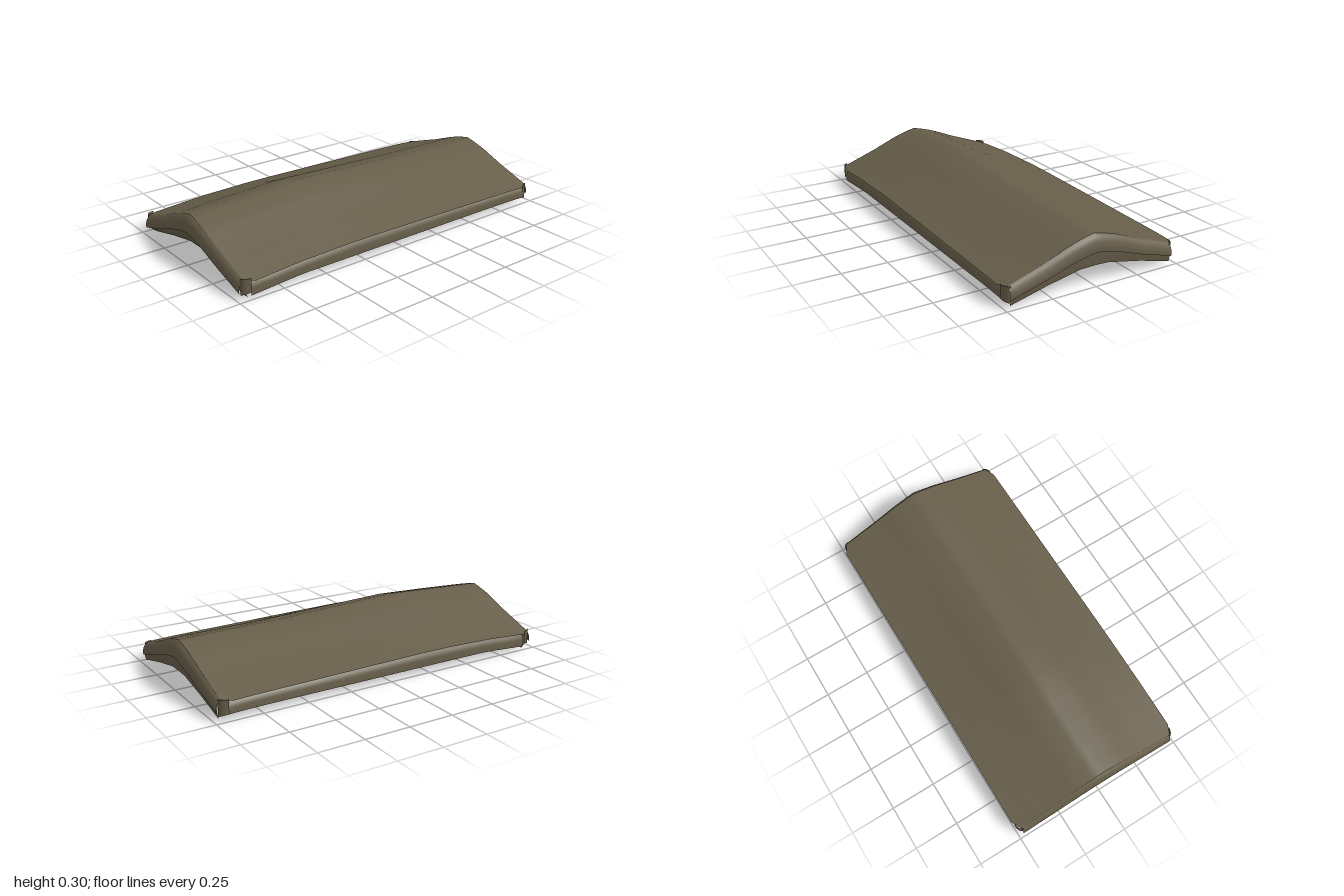
import * as THREE from 'three';

const canvas = new THREE.MeshStandardMaterial({ color: 0x665d49, side: THREE.DoubleSide });
canvas.name = 'olive canvas';

// Piecewise linear lookup in [position, value] pairs sorted by position
function lookup(table, p) {
  if (p <= table[0][0]) return table[0][1];
  for (let i = 1; i < table.length; i++) {
    const [a, va] = table[i - 1], [b, vb] = table[i];
    if (p <= b) return va + (vb - va) * (p - a) / (b - a);
  }
  return table[table.length - 1][1];
}

// Smooth sheet through rows of points; point(u, v) gives [x, y, z]
function sheet(name, us, vs, point) {
  const pos = [], index = [], n = vs.length;
  for (const u of us) for (const v of vs) pos.push(...point(u, v));
  for (let i = 0; i < us.length - 1; i++) {
    for (let j = 0; j < n - 1; j++) {
      const a = i * n + j, b = a + n;
      index.push(a, b, a + 1, b, b + 1, a + 1);
    }
  }
  const g = new THREE.BufferGeometry();
  g.setAttribute('position', new THREE.Float32BufferAttribute(pos, 3));
  g.setIndex(index);
  g.computeVertexNormals();
  const mesh = new THREE.Mesh(g, canvas);
  mesh.name = name;
  return mesh;
}

const range = (a, b, n) => Array.from({ length: n + 1 }, (_, i) => a + (b - a) * i / n);

// Ridge and eave heights along the length, and the slope between them
const ridge = [[-0.97, 0.275], [-0.4, 0.282], [0, 0.297], [0.35, 0.31], [0.65, 0.295], [0.97, 0.278]];
const eave = [[-0.97, 0.11], [-0.8, 0.116], [-0.2, 0.125], [0.3, 0.132], [0.65, 0.122], [0.97, 0.1]];
const slope = [[0, 1], [0.06, 0.965], [0.26, 0.8], [0.56, 0.45], [1, 0]];
function roofY(x, z) {
  const e = lookup(eave, z);
  return e + (lookup(ridge, z) - e) * lookup(slope, Math.abs(x) / 0.5);
}
// Lower hem of the end skirts
const hem = [[0, 0.097], [0.08, 0.095], [0.27, 0.057], [0.47, 0.008]];

export function createModel() {
  const group = new THREE.Group();

  // Pitched roof sheet, slightly narrowed at its corners
  const across = range(-1, 1, 24);
  const width = z => lookup([[0, 0.505], [0.91, 0.505], [0.965, 0.478]], Math.abs(z));
  const along = [-0.965, -0.94, -0.91, -0.8, -0.6, -0.4, -0.2, 0, 0.2, 0.35, 0.5, 0.65, 0.8, 0.91, 0.94, 0.965];
  group.add(sheet('roof', along, across, (z, s) => {
    const x = s * width(z);
    return [x, roofY(x, z), z];
  }));

  for (const end of [1, -1]) {
    const label = end > 0 ? 'front' : 'back';
    const top = x => roofY(x, end * 0.965);

    // Rounded lip folding over the end of the roof: [distance, drop]
    const lip = [[0.965, 0], [0.98, 0.012], [0.99, 0.035], [0.997, 0.065], [0.995, 0.09]];
    group.add(sheet(label + 'Lip', lip, across, ([d, drop], s) => {
      const x = s * 0.475;
      return [x, top(x) - drop * (1 - 0.25 * Math.abs(s)), end * (d - 0.008 * Math.abs(s))];
    }));

    // Skirt hanging from behind the lip
    const reach = end > 0 ? 0.935 : 0.975;
    group.add(sheet(label + 'Skirt', range(0, 1, 4), across, (t, s) => {
      const x = s * 0.47;
      const y0 = top(x) - 0.035, y1 = lookup(hem, Math.abs(x)) + (end > 0 ? 0 : 0.012);
      return [x, y0 + (y1 - y0) * t, end * (0.983 + (reach - 0.983) * t * t)];
    }));

    // Inner flap turned in under the roof
    group.add(sheet(label + 'InnerFlap', range(0, 1, 4), across, (t, s) => {
      const x = s * 0.45;
      const y0 = roofY(x, end * 0.84) - 0.012;
      const y1 = lookup(hem, Math.abs(x)) + 0.03;
      return [x, y0 + (y1 - y0) * t * t, end * (0.84 + 0.085 * t)];
    }));
  }

  for (const side of [1, -1]) {
    const label = side > 0 ? 'left' : 'right';

    // Side valance curling out from under the roof: [x, drop from eave]
    const curl = [[0.37, -0.034], [0.42, -0.016], [0.46, 0.002], [0.48, 0.02], [0.488, 0.045], [0.49, 0.08]];
    const bottom = [[-0.95, 0.04], [-0.8, 0.045], [0.65, 0.044], [0.93, 0.024]];
    group.add(sheet(label + 'Valance', range(-0.95, 0.93, 18), curl, (z, [x, drop]) => {
      const e = lookup(eave, z);
      const y = drop > 0.01 ? e - (e - lookup(bottom, z)) * drop / 0.08 : e - drop;
      return [side * x, y, z];
    }));

    // Short tabs closing the corners
    for (const end of [1, -1]) {
      group.add(sheet(label + (end > 0 ? 'Front' : 'Back') + 'CornerTab', range(0, 1, 4), [0, 1], (t, v) => {
        const a = t * Math.PI / 2;
        return [side * (0.465 + 0.03 * Math.cos(a)), v ? 0.118 : 0.03 + 0.015 * (1 - t), end * (0.93 + 0.045 * Math.sin(a))];
      }));
    }
  }
  return group;
}
